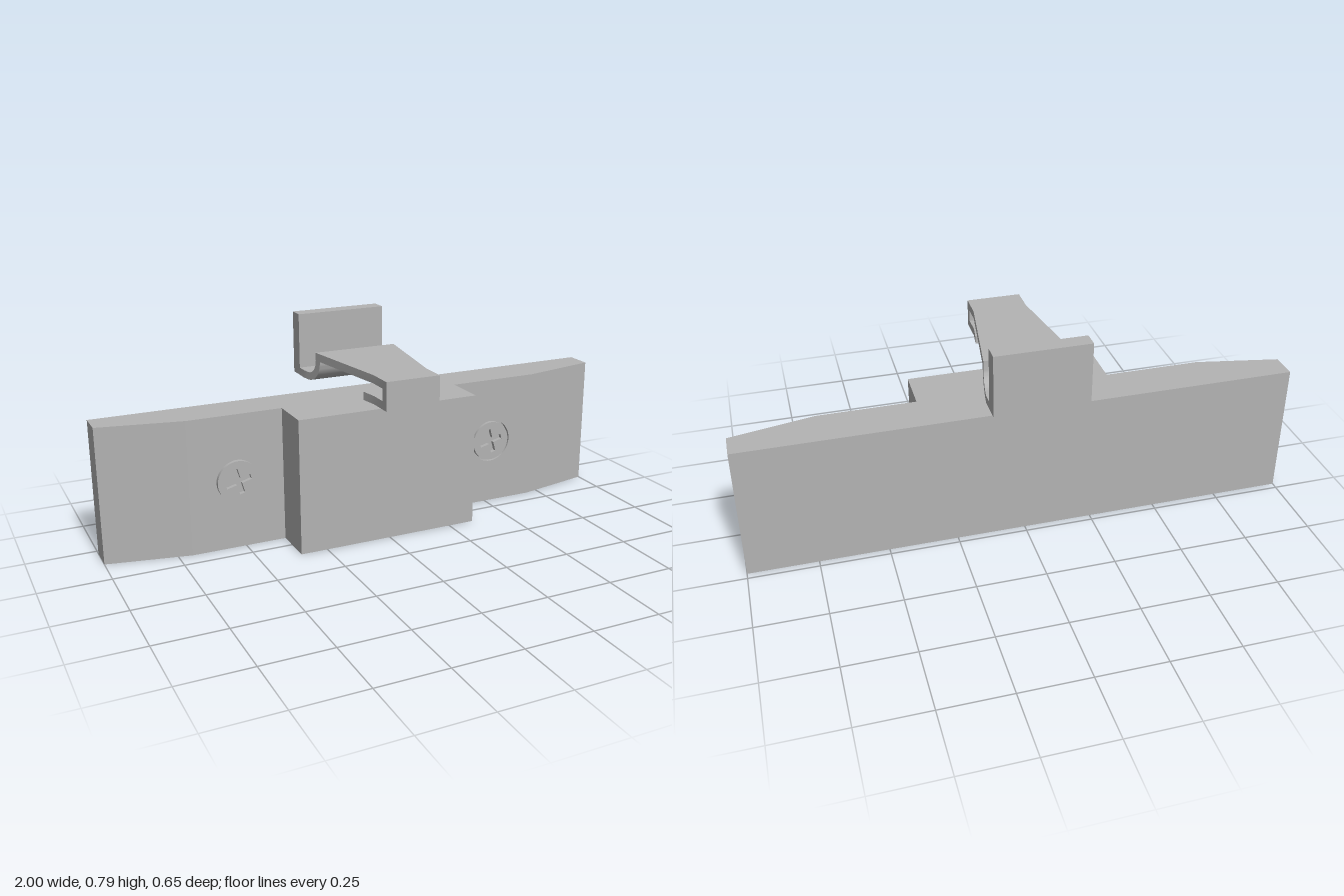
import * as THREE from 'three';
import { toCreasedNormals } from 'three/addons/utils/BufferGeometryUtils.js';

const FACE = -0.067; // front plane of the wings
const POCKET = 0.015; // depth of the screw recesses

const shapeOf = (pts) => new THREE.Shape(pts.map(([x, y]) => new THREE.Vector2(x, y)));
const extrude = (shape, depth) =>
  new THREE.ExtrudeGeometry(shape, { depth, bevelEnabled: false, curveSegments: 24 });

// Plan outline of the block with tapered wings, extruded upwards
function bodyGeometry() {
  const back = -0.225, z0 = FACE - POCKET;
  const half = [[1, back], [1, -0.127], [0.7, FACE], [0.7, z0], [0.35, z0], [0.35, 0.093]];
  const mirrored = half.map(([x, z]) => [-x, z]).reverse();
  return extrude(shapeOf([...half, ...mirrored].map(([x, z]) => [x, -z])), 0.5).rotateX(-Math.PI / 2);
}

// Cross-shaped slot outline
function crossPath(long, w, turn) {
  const pts = [];
  for (let i = 0; i < 4; i++) {
    const a = turn + i * Math.PI / 2;
    for (const [x, y] of [[long, -w], [long, w], [w, w]]) {
      pts.push(new THREE.Vector2(x * Math.cos(a) - y * Math.sin(a), x * Math.sin(a) + y * Math.cos(a)));
    }
  }
  return new THREE.Path(pts);
}

// Wing front with a round pocket
function plateGeometry(side, cx) {
  const x0 = side * 0.35, x1 = side * 0.7;
  const plate = shapeOf([[x0, 0], [x1, 0], [x1, 0.5], [x0, 0.5]]);
  plate.holes.push(new THREE.Path().absarc(cx, 0.25, 0.083, 0, Math.PI * 2, true));
  return extrude(plate, POCKET);
}

function screwGeometry() {
  const head = new THREE.Shape().absarc(0, 0, 0.077, 0, Math.PI * 2, false);
  head.holes.push(crossPath(0.048, 0.01, 0.27));
  return toCreasedNormals(extrude(head, POCKET + 0.001), 0.5);
}

// Bent strip: pairs of [z, y] points on both sides of the strip, tapered in width along z
function clipGeometry() {
  const pairs = [
    [[0.168, 0.566], [0.168, 0.595]],
    [[0.23, 0.566], [0.23, 0.595]],
    [[0.325, 0.566], [0.297, 0.595]],
    [[0.325, 0.667], [0.297, 0.638]],
    [[0.23, 0.667], [0.23, 0.638]],
    [[-0.14, 0.667], [-0.112, 0.638]],
  ];
  const steps = 14;
  for (let i = 0; i <= steps; i++) {
    const a = (i / steps) * Math.PI / 2;
    pairs.push([0.055, 0.083].map((r) => [-0.195 + r * Math.cos(a), 0.638 - r * Math.sin(a)]));
  }
  pairs.push(
    [[-0.225, 0.583], [-0.225, 0.555]],
    [[-0.266, 0.583], [-0.324, 0.555]],
    [[-0.266, 0.785], [-0.324, 0.785]],
  );
  const halfWidth = (z) => THREE.MathUtils.mapLinear(THREE.MathUtils.clamp(z, -0.225, 0.23), -0.225, 0.23, 0.17, 0.1);
  const at = ([z, y], s) => [-0.03 + s * halfWidth(z), y, z];
  const pos = [];
  const quad = (a, b, c, d) => pos.push(...a, ...b, ...c, ...a, ...c, ...d);
  for (let i = 0; i < pairs.length - 1; i++) {
    const [a, b] = pairs[i], [a2, b2] = pairs[i + 1];
    quad(at(a, 1), at(b, 1), at(b2, 1), at(a2, 1));
    quad(at(a, -1), at(a2, -1), at(b2, -1), at(b, -1));
    quad(at(a, 1), at(a2, 1), at(a2, -1), at(a, -1));
    quad(at(b2, 1), at(b, 1), at(b, -1), at(b2, -1));
  }
  const [a, b] = pairs[0], [c, d] = pairs[pairs.length - 1];
  quad(at(b, 1), at(a, 1), at(a, -1), at(b, -1));
  quad(at(c, 1), at(d, 1), at(d, -1), at(c, -1));
  const geo = new THREE.BufferGeometry();
  geo.setAttribute('position', new THREE.Float32BufferAttribute(pos, 3));
  return toCreasedNormals(geo, 0.3);
}

export function createModel() {
  const group = new THREE.Group();
  const grey = new THREE.MeshStandardMaterial({ color: 0xb3b3b3 });
  grey.name = 'grey';
  const add = (name, geo, x = 0, y = 0, z = 0) => {
    const mesh = new THREE.Mesh(geo, grey);
    mesh.name = name;
    mesh.position.set(x, y, z);
    group.add(mesh);
  };

  add('body', bodyGeometry());
  for (const [side, label] of [[1, 'left'], [-1, 'right']]) {
    const cx = side * 0.52;
    add(label + 'WingFront', plateGeometry(side, cx), 0, 0, FACE - POCKET);
    add(label + 'Screw', screwGeometry(), cx, 0.25, FACE - POCKET);
  }
  add('clip', clipGeometry());
  return group;
}
